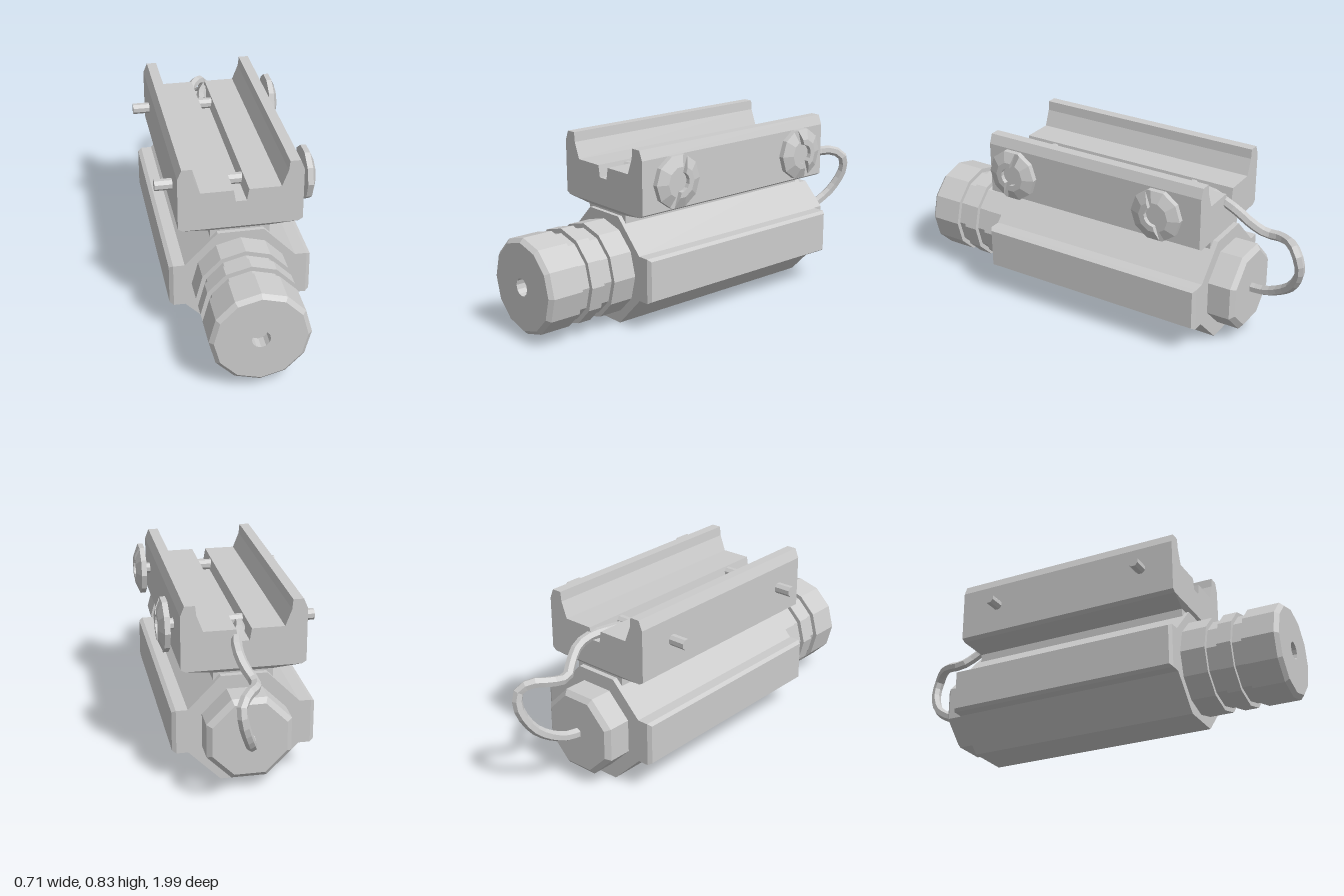
import * as THREE from 'three';

const material = new THREE.MeshStandardMaterial({ color: 0xcccccc, flatShading: true, side: THREE.DoubleSide });
const AXIS_Y = 0.253;

// Solid between two matching counter-clockwise outlines, along +z
function loft(bottom, top, height) {
  const n = bottom.length;
  const pos = [];
  bottom.forEach(p => pos.push(p.x, p.y, 0));
  top.forEach(p => pos.push(p.x, p.y, height));
  const index = [];
  for (let i = 0; i < n; i++) {
    const j = (i + 1) % n;
    index.push(i, j, n + j, i, n + j, n + i);
  }
  for (const [a, b, c] of THREE.ShapeUtils.triangulateShape(top, [])) index.push(n + a, n + b, n + c);
  for (const [a, b, c] of THREE.ShapeUtils.triangulateShape(bottom, [])) index.push(a, c, b);
  const g = new THREE.BufferGeometry();
  g.setAttribute('position', new THREE.Float32BufferAttribute(pos, 3));
  g.setIndex(index);
  const flat = g.toNonIndexed();
  flat.computeVertexNormals();
  return flat;
}

const points = list => list.map(([x, y]) => new THREE.Vector2(x, y));
const rect = (x0, x1, y0, y1) => points([[x0, y0], [x1, y0], [x1, y1], [x0, y1]]);

function polygon(radius, sides) {
  return Array.from({ length: sides }, (_, i) => {
    const a = (i / sides) * Math.PI * 2;
    return new THREE.Vector2(radius * Math.cos(a), radius * Math.sin(a));
  });
}

// Extrude an outline in the xy plane from z0 to z1
function prism(outline, z0, z1) {
  return new THREE.ExtrudeGeometry(new THREE.Shape(points(outline)), { depth: z1 - z0, bevelEnabled: false })
    .translate(0, 0, z0);
}

// Faceted turned part around the barrel axis; profile is [radius, z]
function turned(profile, sides, phase) {
  return new THREE.LatheGeometry(points(profile), sides, phase)
    .rotateX(Math.PI / 2).translate(0.001, AXIS_Y, 0);
}

// One half of a slotted screw dome, with the slot along x and a round central recess
function halfDome(rimRadius, topRadius, height) {
  const slot = 0.013, recess = 0.045;
  const outline = r => {
    const end = r - slot * Math.tan(Math.PI / 10);
    const out = [[end, slot]];
    for (let k = 1; k <= 4; k++) out.push([r * Math.cos(k * Math.PI / 5), r * Math.sin(k * Math.PI / 5)]);
    out.push([-end, slot]);
    const a0 = Math.asin(slot / recess);
    for (let k = 0; k <= 6; k++) {
      const a = Math.PI - a0 - (k / 6) * (Math.PI - 2 * a0);
      out.push([recess * Math.cos(a), recess * Math.sin(a)]);
    }
    return points(out);
  };
  return loft(outline(rimRadius), outline(topRadius), height);
}

export function createModel() {
  const model = new THREE.Group();
  const add = (name, geometry, parent = model) => {
    const mesh = new THREE.Mesh(geometry, material);
    mesh.name = name;
    parent.add(mesh);
    return mesh;
  };

  // Octagonal housing with side wings
  add('housing', prism([
    [-0.102, 0], [0.106, 0], [0.252, 0.147], [0.305, 0.147], [0.305, 0.355],
    [0.252, 0.355], [0.106, 0.505], [-0.102, 0.505], [-0.25, 0.355],
    [-0.302, 0.355], [-0.302, 0.147], [-0.25, 0.147]], -0.58, 0.55));

  // Bevelled outer faces of the wings
  for (const side of [1, -1]) {
    const g = loft(rect(-0.565, 0.565, -0.104, 0.104), rect(-0.553, 0.553, -0.093, 0.093), 0.018);
    g.rotateY(side * Math.PI / 2).translate(side > 0 ? 0.305 : -0.302, 0.251, -0.015);
    add(side > 0 ? 'leftWingFace' : 'rightWingFace', g);
  }

  // Neck between housing and rail clamp
  add('neck', new THREE.BoxGeometry(0.267, 0.06, 1.085).translate(0.0015, 0.484, -0.0125));

  // Rail clamp with raised jaws and central groove
  add('railClamp', prism([
    [-0.277, 0.545], [-0.257, 0.533], [0.26, 0.533], [0.28, 0.545], [0.28, 0.79],
    [0.262, 0.835], [0.215, 0.835], [0.21, 0.79], [0.181, 0.715], [0.037, 0.715],
    [0.027, 0.66], [-0.022, 0.66], [-0.031, 0.715], [-0.178, 0.715],
    [-0.207, 0.79], [-0.211, 0.835], [-0.258, 0.835], [-0.277, 0.79]], -0.575, 0.55));

  // Shallow taper under the clamp
  add('clampTaper', loft(rect(-0.257, 0.26, -0.575, 0.55), rect(-0.133, 0.135, -0.555, 0.53), 0.02)
    .rotateX(Math.PI / 2).translate(0, 0.533, 0));

  // Ribbed front barrel with a small aperture
  add('frontBarrel', turned([
    [0.2, 0.54], [0.221, 0.54], [0.221, 0.665], [0.2, 0.665], [0.2, 0.72], [0.221, 0.72],
    [0.221, 0.785], [0.2, 0.785], [0.2, 0.835], [0.221, 0.835], [0.221, 0.982],
    [0.202, 1], [0.041, 1]], 12, 0));
  add('aperture', turned([[0.041, 1], [0.041, 0.94], [0, 0.94]], 12, 0));

  // Octagonal rear cap
  add('rearCap', turned([
    [0, -0.71], [0.18, -0.71], [0.205, -0.69], [0.205, -0.57]], 8, Math.PI / 8));

  // Cross pins with slotted heads
  for (const [name, z, slotAngle] of [['front', 0.39, 72], ['rear', -0.38, 108]]) {
    const screw = new THREE.Group();
    screw.name = name + 'ClampScrew';
    screw.position.set(0, 0.684, z);
    model.add(screw);
    add('pin', new THREE.CylinderGeometry(0.026, 0.026, 0.675, 8, 1, false, Math.PI / 8)
      .rotateZ(Math.PI / 2).translate(-0.0195, 0, 0), screw);
    add('headRim', loft(polygon(0.123, 10), polygon(0.123, 10), 0.025)
      .rotateY(Math.PI / 2).translate(0.309, 0, 0), screw);
    for (const turn of [0, 180]) {
      add('headDome', halfDome(0.123, 0.073, 0.021)
        .rotateZ((slotAngle + turn) * Math.PI / 180)
        .rotateY(Math.PI / 2).translate(0.334, 0, 0), screw);
    }
  }

  // Cable looping from the rear cap up into the clamp groove
  const path = new THREE.CatmullRomCurve3([
    [0, 0.255, -0.69], [0.01, 0.262, -0.77], [0.025, 0.295, -0.85], [0.05, 0.355, -0.925],
    [0.085, 0.46, -0.97], [0.09, 0.535, -0.955], [0.055, 0.565, -0.91], [0.01, 0.56, -0.84],
    [0, 0.555, -0.76], [0.03, 0.6, -0.7], [0.045, 0.65, -0.64], [0.035, 0.675, -0.57],
    [0.005, 0.685, -0.49], [-0.005, 0.68, -0.42]].map(p => new THREE.Vector3(...p)));
  add('cable', new THREE.TubeGeometry(path, 26, 0.024, 6, false));

  return model;
}
